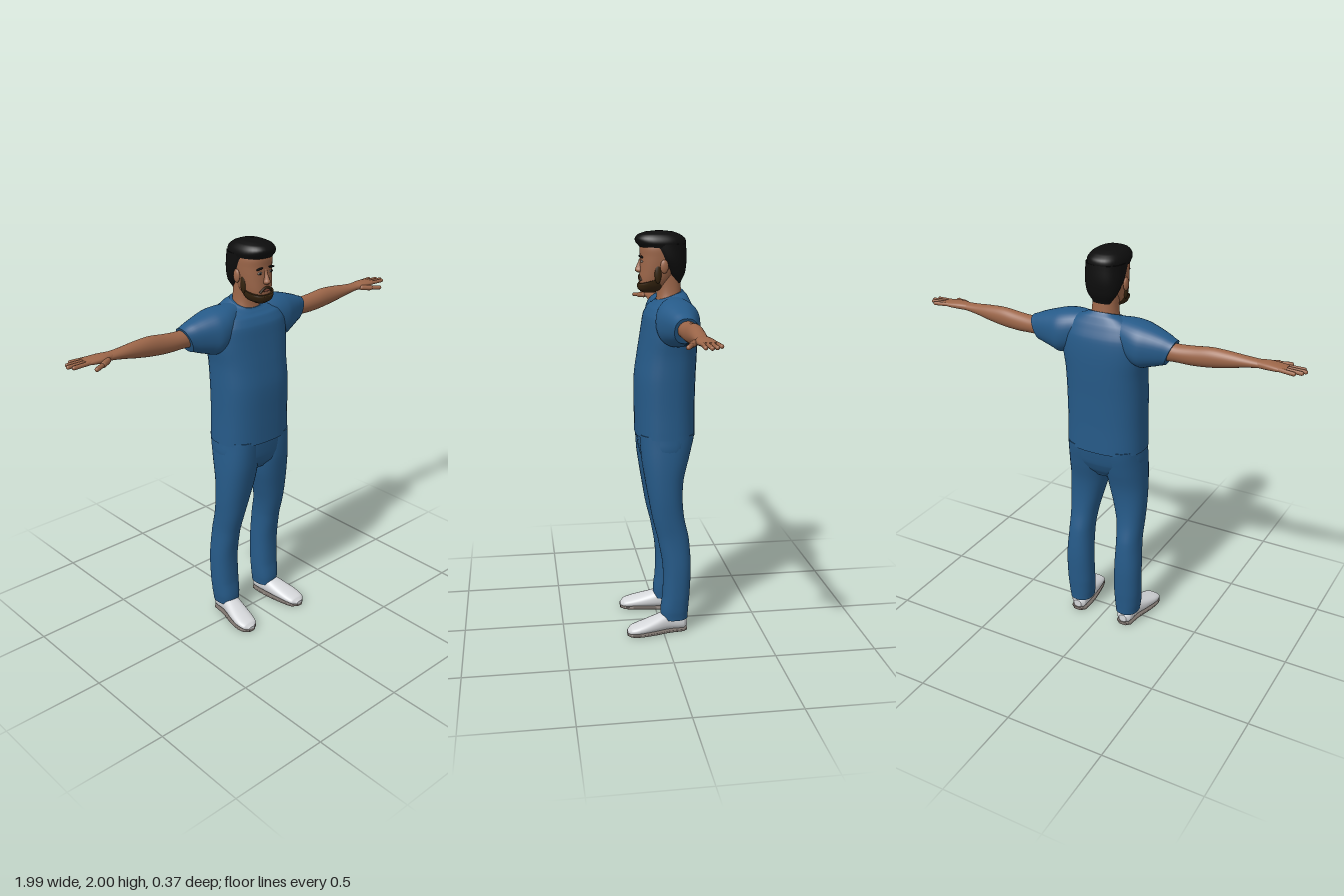
import * as THREE from 'three';

const paint = (name, color, side = THREE.FrontSide) => {
  const m = new THREE.MeshStandardMaterial({ color, side });
  m.name = name;
  return m;
};
const blue = paint('blue cloth', 0x265a88);
const skin = paint('skin', 0x9c6649);
const black = paint('black hair', 0x0d0d0d);
const beardBrown = paint('beard brown', 0x35240f);
const white = paint('shoe white', 0xd6d8db);
const soleGrey = paint('sole grey', 0x7a716b);
const lipRed = paint('lips', 0x7c4536);
const eyeWhite = paint('eye white', 0xa89c92);

// Smooth closed tube through rings [t, aMin, aMax, bMin, bMax, shear].
// Axis 'y': a = x, b = z. Axis 'x': a = y, b = z. Axis 'z': a = x, b = y.
function loft(name, material, axis, rings, { side = 1, power = 2.3, steps = 5, segments = 36 } = {}) {
  const at = (i, k) => rings[Math.min(Math.max(i, 0), rings.length - 1)][k] ?? 0;
  const spline = (i, f, k) => {
    if (k === 0) return at(i, 0) + (at(i + 1, 0) - at(i, 0)) * f;
    const p0 = at(i - 1, k), p1 = at(i, k), p2 = at(i + 1, k), p3 = at(i + 2, k);
    return p1 + 0.5 * f * (p2 - p0 + f * (2 * p0 - 5 * p1 + 4 * p2 - p3 + f * (3 * (p1 - p2) + p3 - p0)));
  };
  const pos = [], index = [];
  const push = (a, b, t) => {
    const [x, y, z] = axis === 'y' ? [a, t, b] : axis === 'x' ? [t, a, b] : [a, b, t];
    pos.push(x * side, y, z);
  };
  const bend = (c) => Math.sign(c) * Math.abs(c) ** (2 / power);
  const ring = (i, f) => {
    const [t, a0, a1, b0, b1, shear] = [0, 1, 2, 3, 4, 5].map((k) => spline(i, f, k));
    for (let j = 0; j < segments; j++) {
      const u = (j / segments) * Math.PI * 2;
      const da = bend(Math.cos(u)) * (a1 - a0) / 2, db = bend(Math.sin(u)) * (b1 - b0) / 2;
      push((a0 + a1) / 2 + da, (b0 + b1) / 2 + db, t + shear * (axis === 'x' ? da : db));
    }
    return [(a0 + a1) / 2, (b0 + b1) / 2, t];
  };
  const flip = (axis === 'y') !== (side < 0);
  const tri = (a, b, c) => (flip ? index.push(a, c, b) : index.push(a, b, c));
  const n = (rings.length - 1) * steps;
  for (let r = 0; r <= n; r++) {
    const i = Math.min(Math.floor(r / steps), rings.length - 2);
    ring(i, r / steps - i);
    for (let j = 0; j < segments && r < n; j++) {
      const p = r * segments + j, q = r * segments + ((j + 1) % segments);
      tri(p, q, q + segments);
      tri(p, q + segments, p + segments);
    }
  }
  // separate end caps keep hems crisp
  for (const end of [0, 1]) {
    const base = pos.length / 3;
    push(...ring(end ? rings.length - 2 : 0, end));
    for (let j = 0; j < segments; j++) {
      const p = base + j, q = base + ((j + 1) % segments), c = base + segments;
      end ? tri(c, p, q) : tri(c, q, p);
    }
  }
  const g = new THREE.BufferGeometry();
  g.setAttribute('position', new THREE.Float32BufferAttribute(pos, 3));
  g.setIndex(index);
  g.computeVertexNormals();
  return named(name, g, material);
}

function named(name, geometry, material) {
  const m = new THREE.Mesh(geometry, material);
  m.name = name;
  return m;
}

function ball(name, material, [x, y, z], [sx, sy, sz], tilt = 0) {
  const m = named(name, new THREE.SphereGeometry(1, 20, 14), material);
  m.position.set(x, y, z);
  m.scale.set(sx, sy, sz);
  m.rotation.z = tilt;
  return m;
}

// Rounded finger between two points
function finger(name, from, to, radius) {
  const a = new THREE.Vector3(...from), b = new THREE.Vector3(...to);
  const dir = b.clone().sub(a);
  const m = named(name, new THREE.CapsuleGeometry(radius, dir.length() - radius, 5, 10), skin);
  m.position.copy(a.add(b).multiplyScalar(0.5));
  m.quaternion.setFromUnitVectors(new THREE.Vector3(0, 1, 0), dir.normalize());
  return m;
}

function createHead() {
  const g = new THREE.Group();
  g.name = 'head';
  const sym = (rows) => rows.map(([y, r, b, f, s]) => [y, -r, r, b, f, s ?? 0]);
  g.add(
    loft('neck', skin, 'y', sym([[1.63, 0.085, -0.12, 0.02], [1.69, 0.067, -0.11, 0.01], [1.74, 0.061, -0.105, 0.01], [1.81, 0.06, -0.1, 0.02]])),
    loft('face', skin, 'y', sym([[1.715, 0.03, 0.01, 0.075], [1.73, 0.053, -0.02, 0.09], [1.77, 0.069, -0.06, 0.094],
      [1.82, 0.079, -0.09, 0.092], [1.88, 0.085, -0.11, 0.09], [1.93, 0.084, -0.11, 0.09], [1.97, 0.06, -0.08, 0.06]])),
    loft('nose', skin, 'y', sym([[1.803, 0.012, 0.07, 0.102], [1.813, 0.018, 0.07, 0.115], [1.828, 0.013, 0.07, 0.111],
      [1.85, 0.009, 0.07, 0.101], [1.875, 0.011, 0.07, 0.091]]), { segments: 16, power: 2 }),
    loft('hairTop', black, 'y', sym([[1.925, 0.09, -0.127, 0.094], [1.945, 0.094, -0.13, 0.11], [1.965, 0.088, -0.124, 0.114],
      [1.983, 0.073, -0.1, 0.098], [1.995, 0.048, -0.066, 0.065], [2.0, 0.015, -0.02, 0.02]])),
    loft('hairBack', black, 'y', sym([[1.755, 0.045, -0.105, -0.06], [1.8, 0.074, -0.124, -0.035], [1.86, 0.091, -0.132, 0.015],
      [1.94, 0.094, -0.13, 0.06]])),
    loft('beard', beardBrown, 'y', sym([[1.71, 0.028, 0.015, 0.08], [1.724, 0.054, -0.01, 0.1], [1.745, 0.068, -0.025, 0.105],
      [1.772, 0.074, -0.03, 0.099, -0.3]])),
    ball('mouth', lipRed, [0, 1.774, 0.092], [0.023, 0.006, 0.008]),
  );
  // moustache arc framing the mouth
  const arc = new THREE.QuadraticBezierCurve3(new THREE.Vector3(-0.035, 1.765, 0.088),
    new THREE.Vector3(0, 1.812, 0.1), new THREE.Vector3(0.035, 1.765, 0.088));
  g.add(named('moustache', new THREE.TubeGeometry(arc, 16, 0.006, 8), beardBrown));
  for (const s of [1, -1]) {
    g.add(
      ball('ear', skin, [s * 0.088, 1.837, -0.014], [0.011, 0.032, 0.02]),
      ball('sideburn', beardBrown, [s * 0.072, 1.806, 0.014], [0.011, 0.05, 0.017]),
      ball('eye', eyeWhite, [s * 0.034, 1.858, 0.086], [0.014, 0.006, 0.005]),
      ball('pupil', black, [s * 0.034, 1.858, 0.089], [0.006, 0.006, 0.004]),
      ball('eyebrow', black, [s * 0.036, 1.879, 0.087], [0.021, 0.005, 0.006], -s * 0.12),
    );
  }
  return g;
}

function createArm(s) {
  const g = new THREE.Group();
  g.name = s > 0 ? 'leftArm' : 'rightArm';
  g.add(
    loft('sleeve', blue, 'x', [[0.07, 1.55, 1.695, -0.13, 0], [0.15, 1.5, 1.695, -0.155, 0.035], [0.21, 1.475, 1.688, -0.165, 0.04],
      [0.26, 1.485, 1.672, -0.152, 0.022, 0.1], [0.31, 1.497, 1.652, -0.138, 0, 0.25], [0.355, 1.51, 1.632, -0.127, -0.02, 0.4]], { side: s }),
    loft('arm', skin, 'x', [[0.28, 1.53, 1.63, -0.122, -0.032], [0.38, 1.535, 1.62, -0.12, -0.035], [0.46, 1.534, 1.625, -0.117, -0.037],
      [0.55, 1.541, 1.635, -0.115, -0.038], [0.64, 1.556, 1.631, -0.109, -0.038], [0.72, 1.573, 1.623, -0.101, -0.038],
      [0.79, 1.583, 1.619, -0.098, -0.038]], { side: s, power: 2 }),
    loft('palm', skin, 'x', [[0.77, 1.583, 1.619, -0.097, -0.04], [0.82, 1.584, 1.621, -0.106, -0.029], [0.87, 1.588, 1.618, -0.112, -0.032],
      [0.905, 1.594, 1.613, -0.11, -0.037]], { side: s }),
    finger('thumb', [s * 0.8, 1.598, -0.038], [s * 0.85, 1.594, -0.008], 0.014),
    finger('thumb', [s * 0.84, 1.595, -0.014], [s * 0.897, 1.591, 0.013], 0.0105),
  );
  const tips = [[-0.102, 0.95, -0.114], [-0.084, 0.978, -0.091], [-0.065, 0.988, -0.068], [-0.046, 0.974, -0.044]];
  for (const [z, x, tipZ] of tips) g.add(finger('finger', [s * 0.87, 1.604, z], [s * x, 1.602, tipZ], 0.0095));
  return g;
}

function createLeg(s) {
  const g = new THREE.Group();
  g.name = s > 0 ? 'leftLeg' : 'rightLeg';
  const shoe = [[-0.122, 0.115, 0.16, 0.02, 0.06], [-0.105, 0.097, 0.178, 0.01, 0.088], [-0.03, 0.094, 0.188, 0.01, 0.105],
    [0.05, 0.102, 0.21, 0.01, 0.082], [0.12, 0.114, 0.222, 0.01, 0.06], [0.165, 0.128, 0.215, 0.01, 0.045], [0.185, 0.155, 0.19, 0.012, 0.028]];
  g.add(
    loft('trouserLeg', blue, 'y', [[0.07, 0.078, 0.197, -0.127, 0.008], [0.12, 0.073, 0.204, -0.13, 0.01], [0.2, 0.07, 0.209, -0.136, 0],
      [0.35, 0.073, 0.209, -0.141, 0], [0.5, 0.076, 0.2, -0.13, 0.025], [0.6, 0.065, 0.202, -0.108, 0.05], [0.7, 0.04, 0.206, -0.1, 0.068],
      [0.8, 0.014, 0.206, -0.107, 0.085], [0.9, 0, 0.203, -0.132, 0.1], [1.03, 0, 0.195, -0.16, 0.108]], { side: s }),
    loft('shoe', white, 'z', shoe, { side: s }),
    loft('sole', soleGrey, 'z', shoe.map(([z, a, b]) => [z, a - 0.001, b + 0.001, 0, 0.018]), { side: s, power: 4 }),
  );
  return g;
}

export function createModel() {
  const model = new THREE.Group();
  model.name = 'standingMan';
  model.add(
    createHead(),
    // shirt body narrows to a neckline that dips at the front
    loft('shirt', blue, 'y', [[1.015, -0.202, 0.202, -0.173, 0.12], [1.15, -0.199, 0.199, -0.172, 0.121], [1.3, -0.2, 0.2, -0.175, 0.12],
      [1.42, -0.202, 0.202, -0.18, 0.103], [1.52, -0.214, 0.214, -0.181, 0.086], [1.6, -0.212, 0.212, -0.174, 0.072],
      [1.65, -0.185, 0.185, -0.152, 0.05, -0.1], [1.68, -0.125, 0.125, -0.133, 0.026, -0.25], [1.697, -0.078, 0.078, -0.116, 0.014, -0.35]], { power: 2.5 }),
    loft('trouserHips', blue, 'y', [[0.85, -0.07, 0.07, -0.09, 0.055], [0.89, -0.15, 0.15, -0.122, 0.088], [0.94, -0.197, 0.197, -0.147, 0.103],
      [1.03, -0.197, 0.197, -0.165, 0.112]], { power: 2.5 }),
  );
  for (const s of [1, -1]) model.add(createArm(s), createLeg(s));
  return model;
}
